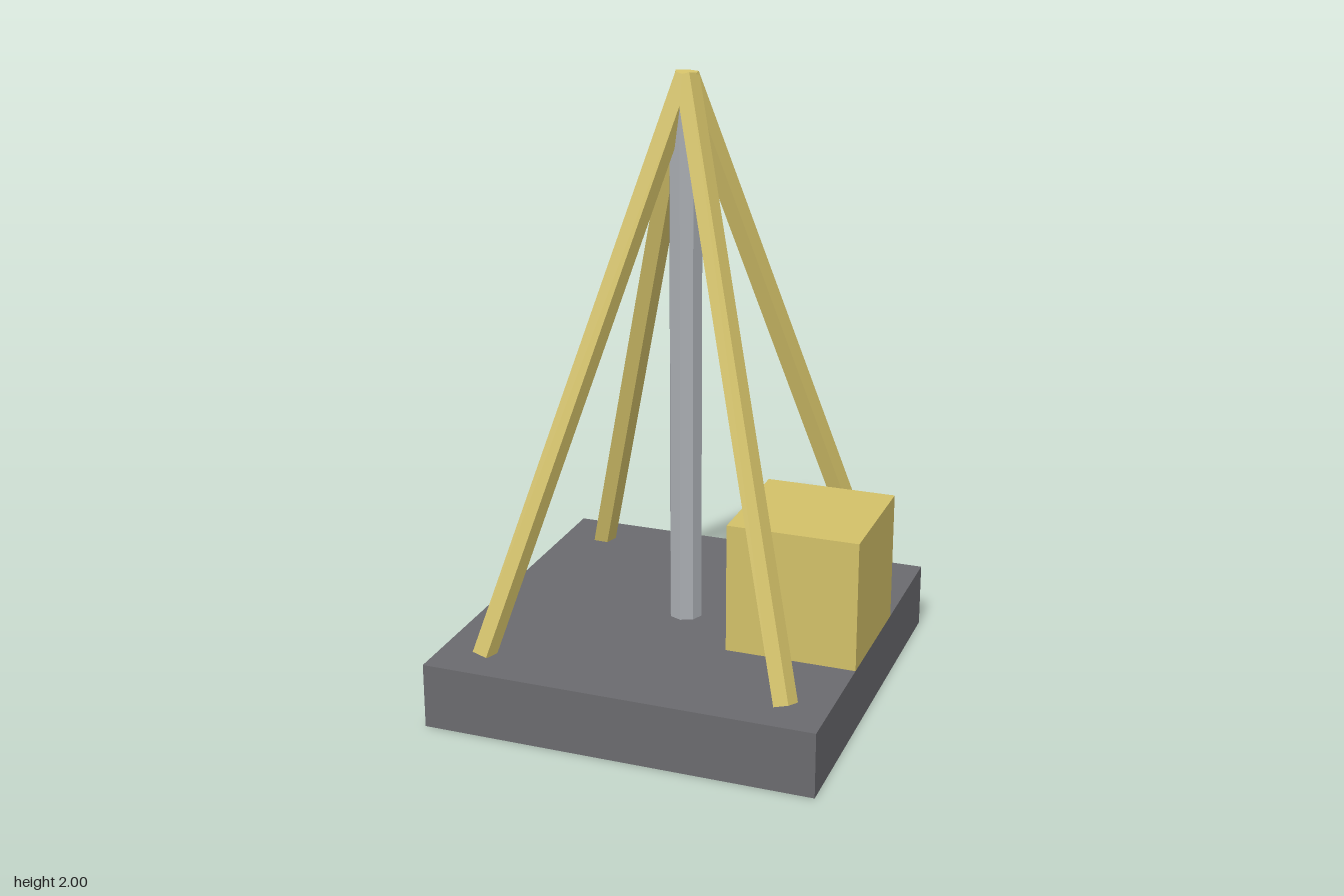
import * as THREE from 'three';

const yellow = new THREE.MeshStandardMaterial({ color: 0xd2c068 });
yellow.name = 'paleYellow';
const darkGrey = new THREE.MeshStandardMaterial({ color: 0x6a6a6e });
darkGrey.name = 'darkGrey';
const lightGrey = new THREE.MeshStandardMaterial({ color: 0xa9adb2 });
lightGrey.name = 'lightGrey';

const UP = new THREE.Vector3(0, 1, 0);
const UNIT = 0.4245;
const BASE_TOP = UNIT / 2;

function addPart(group, name, geometry, material) {
  const mesh = new THREE.Mesh(geometry, material);
  mesh.name = name;
  group.add(mesh);
  return mesh;
}

// Faceted prism whose sides are shaded flat
function prism(radius, height, sides, start = 0) {
  const g = new THREE.CylinderGeometry(radius, radius, height, sides, 1, false, start).toNonIndexed();
  g.computeVertexNormals();
  return g;
}

export function createModel() {
  const model = new THREE.Group();
  model.name = 'tripodTower';

  // Square slab
  addPart(model, 'base', new THREE.BoxGeometry(UNIT * 3, BASE_TOP, UNIT * 3), darkGrey)
    .position.y = BASE_TOP / 2;

  // Cube at the edge of the slab
  addPart(model, 'crate', new THREE.BoxGeometry(UNIT, UNIT, UNIT), yellow)
    .position.set(UNIT, BASE_TOP + UNIT / 2, 0);

  // Octagonal post in the middle
  const poleTop = 1.9;
  addPart(model, 'centrePole', prism(0.054, poleTop - BASE_TOP, 8), lightGrey)
    .position.y = (poleTop + BASE_TOP) / 2;

  // Four five-sided legs leaning together at the apex
  const apex = new THREE.Vector3(0, 1.985, 0);
  for (const [x, side] of [[1, 'left'], [-1, 'right']]) {
    for (const [z, end] of [[1, 'Front'], [-1, 'Back']]) {
      const foot = new THREE.Vector3(x * 0.496, BASE_TOP, z * 0.496);
      const axis = apex.clone().sub(foot);
      const leg = addPart(model, `${side}${end}Leg`, prism(0.041, axis.length(), 5, Math.PI), yellow);
      leg.position.copy(foot).add(apex).multiplyScalar(0.5);
      leg.quaternion.setFromUnitVectors(UP, axis.normalize());
    }
  }
  return model;
}
